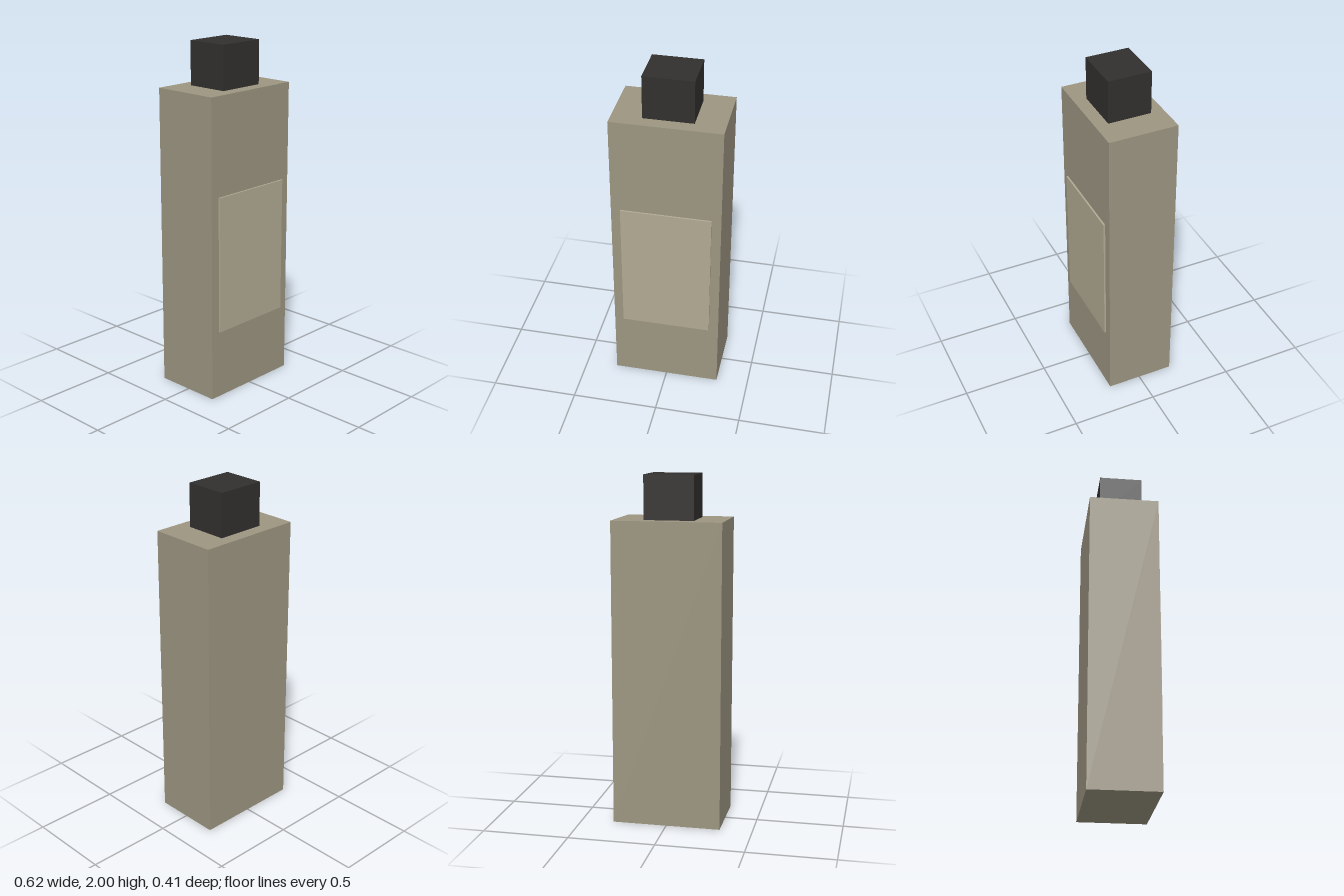
import * as THREE from 'three';

export function createModel() {
  const group = new THREE.Group();

  // Adds a box spanning the given minimum and maximum corners
  const addBox = (name, color, min, max) => {
    const size = max.map((v, i) => v - min[i]);
    const mesh = new THREE.Mesh(
      new THREE.BoxGeometry(...size),
      new THREE.MeshStandardMaterial({ color })
    );
    mesh.position.set(...max.map((v, i) => (v + min[i]) / 2));
    mesh.name = name;
    group.add(mesh);
  };

  // Tall rectangular bottle
  addBox('bottleBody', 0x9c9581, [-0.3125, 0, -0.205], [0.3125, 1.75, 0.195]);
  // Square cap
  addBox('cap', 0x32302e, [-0.142, 1.75, -0.13], [0.142, 2, 0.12]);
  // Thin raised front panel, set slightly into the body
  addBox('frontLabel', 0xb2aa93, [-0.258, 0.4, 0.19], [0.258, 1.19, 0.205]);

  return group;
}
